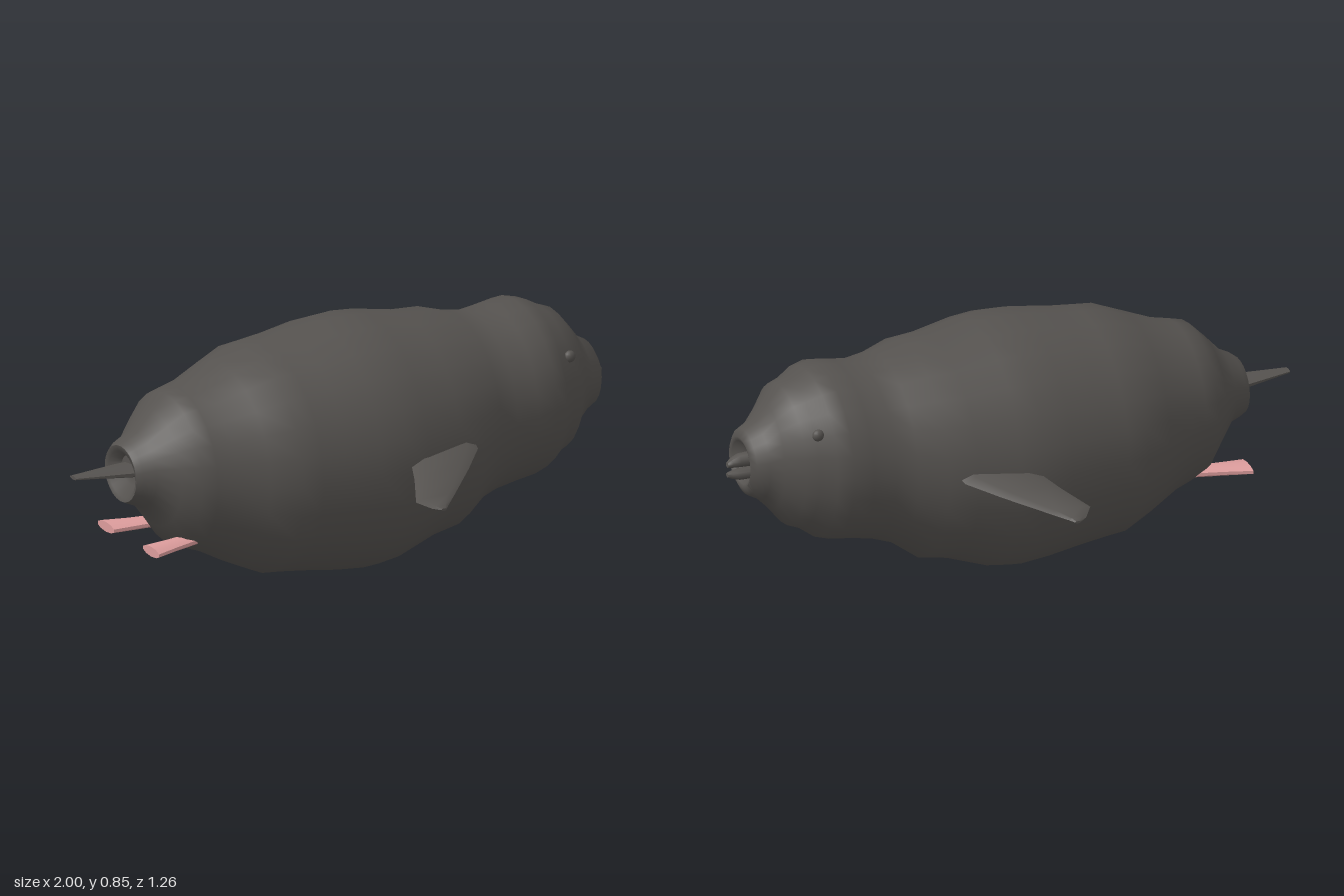
import * as THREE from 'three';
import { toCreasedNormals } from 'three/addons/utils/BufferGeometryUtils.js';

// Skin a list of rings (arrays of [x, y, z]) and close both ends.
// Each ring turns counter-clockwise about the direction of travel.
function loft(rings, crease = 0.8) {
  const n = rings[0].length;
  const pos = rings.flat(2);
  const idx = [];
  for (let i = 0; i < rings.length - 1; i++) {
    for (let j = 0; j < n; j++) {
      const k = (j + 1) % n;
      const a = i * n + j, d = i * n + k, b = a + n, c = d + n;
      idx.push(a, d, c, a, c, b);
    }
  }
  const cap = (start, flip) => {
    const ring = rings[start / n];
    const centre = pos.length / 3;
    for (let c = 0; c < 3; c++) pos.push(ring.reduce((s, p) => s + p[c], 0) / n);
    for (let j = 0; j < n; j++) {
      const p = start + j, q = start + ((j + 1) % n);
      idx.push(centre, flip ? q : p, flip ? p : q);
    }
  };
  cap(0, true);
  cap((rings.length - 1) * n, false);
  const g = new THREE.BufferGeometry();
  g.setAttribute('position', new THREE.Float32BufferAttribute(pos, 3));
  g.setIndex(idx);
  return toCreasedNormals(g, crease);
}

// Elliptical ring across the x axis
function ringX(x, cy, ry, cz, rz, n) {
  return Array.from({ length: n }, (_, j) => {
    const a = (j / n) * Math.PI * 2;
    return [x, cy + ry * Math.cos(a), cz + rz * Math.sin(a)];
  });
}

const mirrorZ = rings => rings.map(r => r.map(([x, y, z]) => [x, y, -z]).reverse());

export function createModel() {
  const group = new THREE.Group();
  const dark = new THREE.MeshStandardMaterial({ color: 0x55524f });
  dark.name = 'charcoal';
  const pink = new THREE.MeshStandardMaterial({ color: 0xdc9c9c });
  pink.name = 'pink';
  const add = (name, geometry, material) => {
    const mesh = new THREE.Mesh(geometry, material);
    mesh.name = name;
    group.add(mesh);
    return mesh;
  };

  // Body and head: x, top, bottom, half width; both ends dip inwards
  const profile = [
    [-0.78, 0.52, 0.42, 0.06], [-0.815, 0.54, 0.385, 0.085],
    [-0.82, 0.56, 0.37, 0.10], [-0.80, 0.575, 0.36, 0.115], [-0.76, 0.595, 0.345, 0.13],
    [-0.70, 0.66, 0.27, 0.19], [-0.65, 0.71, 0.20, 0.235], [-0.60, 0.722, 0.177, 0.253],
    [-0.54, 0.735, 0.155, 0.27], [-0.44, 0.775, 0.10, 0.32], [-0.34, 0.815, 0.052, 0.365],
    [-0.27, 0.822, 0.045, 0.372], [-0.18, 0.832, 0.033, 0.38], [-0.06, 0.852, 0.014, 0.395],
    [0.04, 0.857, 0.004, 0.40], [0.12, 0.85, 0.015, 0.392], [0.26, 0.823, 0.065, 0.362],
    [0.36, 0.817, 0.083, 0.345], [0.45, 0.79, 0.15, 0.30], [0.52, 0.78, 0.175, 0.284],
    [0.60, 0.79, 0.19, 0.282], [0.67, 0.802, 0.20, 0.28], [0.72, 0.79, 0.215, 0.262],
    [0.77, 0.762, 0.252, 0.225], [0.81, 0.748, 0.268, 0.21], [0.86, 0.69, 0.33, 0.15],
    [0.90, 0.637, 0.37, 0.125], [0.94, 0.615, 0.392, 0.108], [0.955, 0.59, 0.42, 0.086],
    [0.95, 0.575, 0.43, 0.075], [0.92, 0.555, 0.45, 0.055],
  ];
  add('body', loft(profile.map(([x, t, b, w]) =>
    ringX(x, (t + b) / 2, (t - b) / 2, 0, w, 24)), 1.0), dark);

  // Tail: thin wedge
  add('tail', loft([
    ringX(-1, 0.483, 0.006, 0, 0.02, 10),
    ringX(-0.82, 0.475, 0.017, 0, 0.056, 10),
    ringX(-0.74, 0.47, 0.02, 0, 0.07, 10),
  ]), dark);

  // Beak: two short tapered halves
  for (const [name, y, tip, r] of [['upperBeak', 0.512, 0.502, 0.025], ['lowerBeak', 0.463, 0.466, 0.021]]) {
    add(name, loft([
      ringX(0.90, y, r, 0, r * 1.05, 12),
      ringX(0.96, y, r * 0.9, 0, r, 12),
      ringX(0.985, (y + tip) / 2, r * 0.65, 0, r * 0.7, 12),
      ringX(1, tip, r * 0.35, 0, r * 0.45, 12),
    ]), dark);
  }

  // Flipper sections: z, front x, back x, thickness; the blade droops outwards
  const flipper = [
    [0.30, 0.33, 0.09, 0.036], [0.37, 0.315, 0.06, 0.034],
    [0.46, 0.225, 0.02, 0.026], [0.57, 0.105, -0.04, 0.016],
    [0.615, 0.055, -0.005, 0.012], [0.63, 0.04, 0.02, 0.008],
  ].map(([z, f, b, t]) => {
    const y = 0.462 - (z - 0.36) * 0.315;
    const at = u => b + (f - b) * u;
    return [[f, y, z], [at(0.85), y + t / 2, z], [at(0.2), y + t / 2, z],
      [b, y, z], [at(0.2), y - t / 2, z], [at(0.85), y - t / 2, z]];
  });

  // Foot: flares towards the back
  const foot = [
    ringX(-0.79, 0.234, 0.017, 0.143, 0.054, 10),
    ringX(-0.70, 0.234, 0.017, 0.125, 0.04, 10),
    ringX(-0.56, 0.237, 0.017, 0.10, 0.03, 10),
  ];

  for (const s of [1, -1]) {
    const side = s > 0 ? 'right' : 'left';
    const sided = rings => (s > 0 ? rings : mirrorZ(rings));
    add(side + 'Flipper', loft(sided(flipper), 0.6), dark);
    add(side + 'Foot', loft(sided(foot)), pink);
    const eye = add(side + 'Eye', new THREE.SphereGeometry(0.02, 14, 10), dark);
    eye.position.set(0.765, 0.645, 0.2 * s);
    eye.scale.z = 0.8;
  }
  return group;
}
